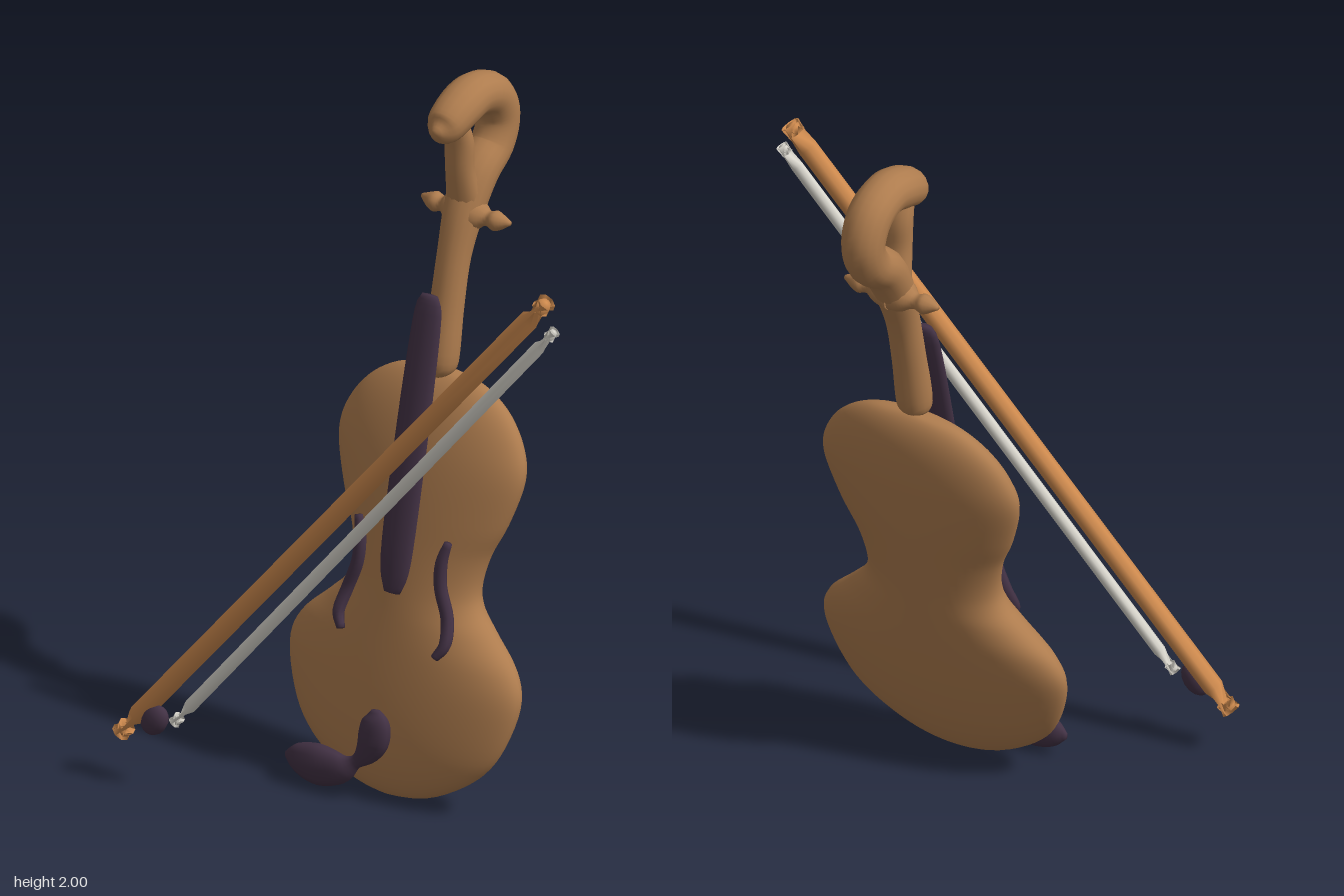
import * as THREE from 'three';
import { mergeVertices } from 'three/addons/utils/BufferGeometryUtils.js';

const mat = (name, color) => {
  const m = new THREE.MeshStandardMaterial({ color });
  m.name = name;
  return m;
};

// Smooth tube through [x, y, z, radius] points; k stretches it along the ref direction
function sweep(pts, ref, k = 1, sides = 12, perSpan = 5) {
  const path = new THREE.CatmullRomCurve3(pts.map(p => new THREE.Vector3(p[0], p[1], p[2])), false, 'catmullrom');
  const radii = new THREE.CatmullRomCurve3(pts.map((p, i) => new THREE.Vector3(p[3], i, 0)), false, 'catmullrom');
  const n = (pts.length - 1) * perSpan;
  const pos = [], idx = [];
  for (let i = 0; i <= n; i++) {
    const c = path.getPoint(i / n), r = Math.max(radii.getPoint(i / n).x, 0.003);
    const T = path.getTangent(i / n);
    const B = new THREE.Vector3().crossVectors(T, ref).normalize();
    const N = new THREE.Vector3().crossVectors(B, T);
    for (let j = 0; j < sides; j++) {
      const a = (j / sides) * Math.PI * 2;
      const v = c.clone().addScaledVector(N, Math.cos(a) * r * k).addScaledVector(B, Math.sin(a) * r);
      pos.push(v.x, v.y, v.z);
    }
  }
  for (let i = 0; i < n; i++) {
    for (let j = 0; j < sides; j++) {
      const a = i * sides + j, b = i * sides + (j + 1) % sides;
      idx.push(a, b, b + sides, a, b + sides, a + sides);
    }
  }
  // end caps
  const s = pos.length / 3, first = pts[0], last = pts[pts.length - 1];
  pos.push(...first.slice(0, 3), ...last.slice(0, 3));
  for (let j = 0; j < sides; j++) {
    const q = (j + 1) % sides;
    idx.push(s, q, j, s + 1, n * sides + j, n * sides + q);
  }
  const g = new THREE.BufferGeometry();
  g.setAttribute('position', new THREE.Float32BufferAttribute(pos, 3));
  g.setIndex(idx);
  g.computeVertexNormals();
  return g;
}

// Waisted body outline: half width against height
const outline = new THREE.SplineCurve([
  [0, 0.005], [0.13, 0.025], [0.26, 0.1], [0.335, 0.19], [0.38, 0.33], [0.355, 0.42], [0.275, 0.5],
  [0.218, 0.56], [0.203, 0.62], [0.222, 0.71], [0.268, 0.81], [0.305, 0.94], [0.285, 1.03],
  [0.225, 1.11], [0.13, 1.165], [0, 1.182],
].map(p => new THREE.Vector2(...p))).getPoints(75);
outline.forEach(p => { p.x = Math.max(p.x, 0); });

const halfDepth = y => 0.106 * Math.sqrt(Math.max(0, 1 - Math.abs((y - 0.593) / 0.59) ** 4));
const lean = y => 0.085 - 0.2 * y;
const halfWidth = y => outline.reduce((a, p) => (Math.abs(p.y - y) < Math.abs(a.y - y) ? p : a)).x;
const frontZ = (x, y) => lean(y) + halfDepth(y) * Math.sqrt(Math.max(0, 1 - (x / halfWidth(y)) ** 2));

// Lathe the outline, then flatten each ring and lean it back
function bodyGeometry() {
  let g = new THREE.LatheGeometry(outline, 48);
  const p = g.attributes.position;
  for (let i = 0; i < p.count; i++) {
    const x = p.getX(i), y = p.getY(i), z = p.getZ(i), w = Math.hypot(x, z);
    p.setZ(i, lean(y) + (w > 1e-5 ? (z / w) * halfDepth(y) : 0));
  }
  g.deleteAttribute('normal');
  g.deleteAttribute('uv');
  g = mergeVertices(g, 1e-5);
  g.computeVertexNormals();
  return g;
}

export function createModel() {
  const wood = mat('body wood', 0xae7c4e);
  const bowWood = mat('bow wood', 0xce8a4e);
  const dark = mat('dark wood', 0x433245);
  const hair = mat('bow hair', 0xd8d5cc);
  const X = new THREE.Vector3(1, 0, 0), Z = new THREE.Vector3(0, 0, 1);

  const root = new THREE.Group();
  root.name = 'violinWithBow';
  const violin = new THREE.Group(), bow = new THREE.Group();
  violin.name = 'violin';
  bow.name = 'bow';
  root.add(violin, bow);
  const add = (parent, name, geometry, material) => {
    const m = new THREE.Mesh(geometry, material);
    m.name = name;
    parent.add(m);
    return m;
  };

  add(violin, 'body', bodyGeometry(), wood);

  // Neck running into the curled scroll, as [z, y, radius]
  const side = list => list.map(([z, y, r]) => [0, y, z, r]);
  add(violin, 'neckAndScroll', sweep(side([
    [-0.137, 1.165, 0.025], [-0.14, 1.21, 0.048], [-0.168, 1.36, 0.046], [-0.2, 1.5, 0.046],
    [-0.245, 1.62, 0.055], [-0.3, 1.71, 0.06], [-0.37, 1.765, 0.058], [-0.398, 1.84, 0.058],
    [-0.365, 1.913, 0.06], [-0.29, 1.942, 0.06], [-0.215, 1.925, 0.06], [-0.15, 1.893, 0.048],
    [-0.112, 1.89, 0.012],
  ]), X, 1.05, 16), wood);
  add(violin, 'scrollFront', sweep(side([
    [-0.25, 1.64, 0.045], [-0.227, 1.74, 0.036], [-0.222, 1.83, 0.036], [-0.2, 1.9, 0.03],
  ]), X, 1.2, 14), wood);

  // Pegs, flared at the neck
  for (const s of [-1, 1]) {
    add(violin, s > 0 ? 'leftPeg' : 'rightPeg', sweep([
      [0, 1.61, -0.245, 0.055], [s * 0.045, 1.61, -0.25, 0.042], [s * 0.075, 1.608, -0.252, 0.022],
      [s * 0.105, 1.608, -0.252, 0.028], [s * 0.148, 1.612, -0.255, 0.006],
    ], Z), wood);
  }

  // Fingerboard
  add(violin, 'fingerboard', sweep([
    [0, 0.6, 0.08, 0.012], [0, 0.66, 0.068, 0.021], [0, 0.78, 0.044, 0.024], [0, 1.0, -0.003, 0.024],
    [0, 1.2, -0.046, 0.023], [0, 1.37, -0.083, 0.02], [0, 1.418, -0.093, 0.012],
  ], X, 2.25, 8, 3), dark);

  // Curved sound holes, following the front surface
  for (const s of [-1, 1]) {
    const pts = [[0.15, 0.768, 0.012], [0.136, 0.71, 0.018], [0.139, 0.64, 0.019], [0.166, 0.56, 0.019],
      [0.178, 0.495, 0.018], [0.157, 0.455, 0.012]];
    add(violin, s > 0 ? 'leftSoundHole' : 'rightSoundHole',
      sweep(pts.map(([x, y, r]) => [s * x, y, frontZ(x, y) + 0.012, r]), Z, 0.9, 8), dark);
  }

  // Chin rest: wide pad, thin link and upright clamp
  add(violin, 'chinRest', sweep([
    [-0.287, 0.07, 0.17, 0.01], [-0.25, 0.07, 0.17, 0.043], [-0.18, 0.07, 0.17, 0.06],
    [-0.105, 0.08, 0.168, 0.045], [-0.06, 0.108, 0.163, 0.02], [-0.025, 0.145, 0.158, 0.036],
    [-0.005, 0.19, 0.155, 0.048], [0, 0.24, 0.15, 0.043], [-0.003, 0.272, 0.146, 0.015],
  ], Z, 0.58, 10), dark);

  // Bow stick, hair and grip block
  const rod = (a, b, r, k) => sweep([0, 0.015, 0.04, 0.5, 0.96, 0.985, 1].map((t, i) => [
    a[0] + (b[0] - a[0]) * t, a[1] + (b[1] - a[1]) * t, a[2] + (b[2] - a[2]) * t,
    r * [0.6, 0.95, 1, 1, 1, 0.95, 0.5][i],
  ]), Z, k, 8, 2);
  add(bow, 'bowStick', rod([-0.645, 0.132, 0.432], [0.615, 1.69, 0.208], 0.028, 1), bowWood);
  add(bow, 'bowHair', rod([-0.475, 0.205, 0.42], [0.643, 1.612, 0.21], 0.018, 0.9), hair);
  const grip = add(bow, 'bowGrip', new THREE.SphereGeometry(1, 12, 8), dark);
  grip.scale.set(0.038, 0.05, 0.028);
  grip.rotation.z = -0.65;
  grip.position.set(-0.535, 0.198, 0.427);

  return root;
}
